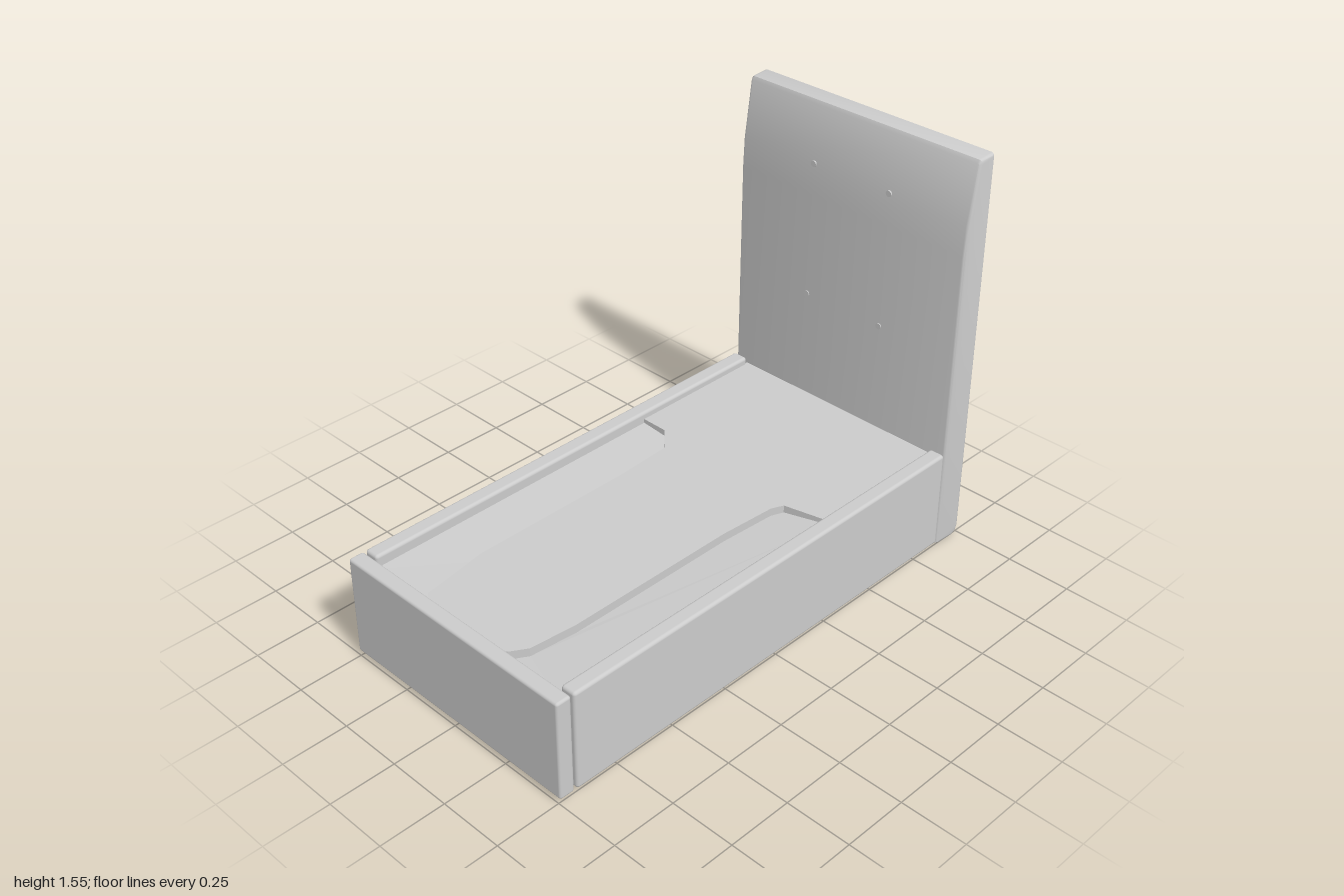
import * as THREE from 'three';
import { RoundedBoxGeometry } from 'three/addons/geometries/RoundedBoxGeometry.js';
import { toCreasedNormals } from 'three/addons/utils/BufferGeometryUtils.js';

const material = new THREE.MeshStandardMaterial({ color: 0xcccccc });

function add(group, name, geometry, x = 0, y = 0, z = 0) {
  const mesh = new THREE.Mesh(geometry, material);
  mesh.name = name;
  mesh.position.set(x, y, z);
  group.add(mesh);
  return mesh;
}

// Flat slab from an [x, z] outline, its top face at the given height
function slab(outline, top, thickness) {
  const shape = new THREE.Shape(outline.map(([x, z]) => new THREE.Vector2(x, z)));
  const geometry = new THREE.ExtrudeGeometry(shape, { depth: thickness, bevelEnabled: false });
  return geometry.rotateX(Math.PI / 2).translate(0, top, 0);
}

export function createModel() {
  const bed = new THREE.Group();
  bed.name = 'bedFrame';

  // Headboard: side profile with a tapered top, extruded across the bed
  const profile = [[0.875, 0.012], [0.89, 0.006], [0.965, 0.002], [0.99, 0.012], [1, 0.04],
    [1, 1.54], [0.994, 1.548], [0.925, 1.543], [0.917, 1.53], [0.886, 1.31], [0.881, 1.2]];
  const board = new THREE.ExtrudeGeometry(
    new THREE.Shape(profile.map(([x, y]) => new THREE.Vector2(x, y))),
    { depth: 0.996, bevelThickness: 0.012, bevelSize: 0.012, bevelOffset: -0.012, bevelSegments: 3 });
  board.translate(0, 0, -0.498);
  add(bed, 'headboard', toCreasedNormals(board, 0.6));

  // Four small fixings on the inner face of the headboard
  for (const [x, y] of [[0.879, 0.8], [0.887, 1.32]]) {
    for (const z of [-0.17, 0.17]) {
      const fixing = new THREE.CylinderGeometry(0.012, 0.012, 0.008, 12).rotateZ(Math.PI / 2);
      add(bed, 'headboardFixing', fixing, x, y, z);
    }
  }

  // Footboard and the two side rails
  add(bed, 'footboard', new RoundedBoxGeometry(0.06, 0.39, 1.02, 3, 0.01), -0.97, 0.215, 0);
  for (const side of [-1, 1]) {
    add(bed, side > 0 ? 'frontRail' : 'backRail',
      new RoundedBoxGeometry(1.8, 0.39, 0.062, 3, 0.012), -0.03, 0.215, side * 0.481);
  }

  // Inner edges of the two long pockets in the deck, from foot to head
  const frontEdge = [[-0.945, 0.16], [-0.92, 0.195], [-0.86, 0.232], [-0.68, 0.25], [0, 0.25],
    [0.22, 0.265], [0.265, 0.285], [0.305, 0.455]];
  const backEdge = [[-0.945, -0.165], [-0.91, -0.21], [-0.65, -0.25], [0, -0.25],
    [0.23, -0.262], [0.31, -0.345], [0.31, -0.455]];

  // Deck panel notched around the pockets
  const deck = [...backEdge, [0.88, -0.455], [0.88, 0.455], ...[...frontEdge].reverse()];
  add(bed, 'deck', slab(deck, 0.382, 0.037));

  // Sunken pocket floors, rising slightly toward the rails
  for (const [name, edge, side] of [['frontPocket', frontEdge, 1], ['backPocket', backEdge, -1]]) {
    const floor = slab([...edge, [-0.945, side * 0.455]], 0.35, 0.012);
    const p = floor.attributes.position;
    for (let i = 0; i < p.count; i++) {
      p.setY(i, p.getY(i) + 0.08 * Math.max(0, Math.abs(p.getZ(i)) - 0.25));
    }
    floor.computeVertexNormals();
    add(bed, name, floor);
  }

  return bed;
}
